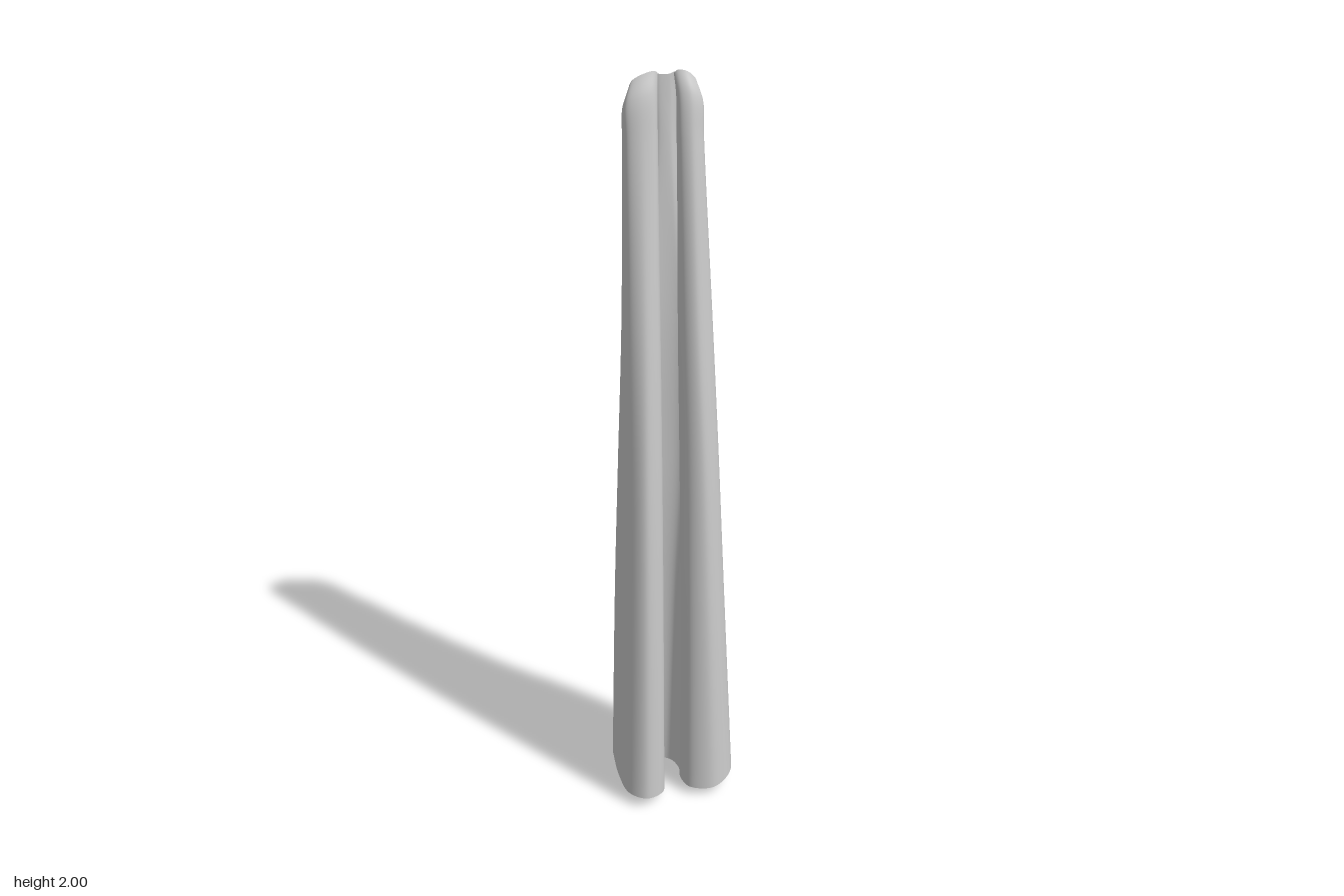
import * as THREE from 'three';

// Cross-sections of the pleated sheet as [x, z], from right hem edge round to left hem edge
const foot = [[-.165, -.1], [-.163, 0], [-.145, .078], [-.1, .109], [-.052, .083], [-.045, .02], [-.085, -.03], [-.1, -.07],
  [-.06, -.108], [-.005, -.095], [.015, -.04], [.01, .02], [.028, .07], [.09, .089], [.147, .045], [.165, -.08]];
const waist = [[-.14, -.055], [-.141, 0], [-.127, .065], [-.09, .094], [-.05, .07], [-.045, .02], [-.075, -.015], [-.095, -.04],
  [-.055, -.063], [.02, -.06], [.042, -.03], [.01, 0], [.02, .057], [.06, .077], [.1, .045], [.115, -.028]];
const chest = [[-.128, -.03], [-.13, 0], [-.12, .048], [-.085, .069], [-.05, .05], [-.043, .01], [-.06, -.01], [-.07, -.02],
  [-.045, -.031], [.01, -.031], [.03, -.02], [.005, 0], [.014, .04], [.045, .057], [.082, .03], [.093, -.02]];
const neck = [[-.118, -.034], [-.121, -.012], [-.113, .01], [-.082, .022], [-.05, .015], [-.041, -.005], [-.052, -.02], [-.05, -.03],
  [-.033, -.022], [-.008, -.022], [.008, -.03], [.004, -.008], [.012, .01], [.036, .02], [.062, .006], [.071, -.03]];

// Height of the uneven hem and dip of the rounded top, per profile point
const hem = [.045, .04, .036, .035, .03, .02, .012, .005, 0, 0, .01, .02, .025, .03, .042, .052];
const dip = [.045, .04, .02, .005, 0, .008, .01, .006, .01, .01, .006, .008, 0, .002, .02, .045];

const lerp = THREE.MathUtils.lerp;
// Gather a section towards the flat top line
const gather = (row, sx, sz) => row.map(([x, z]) => [-.025 + (x + .025) * sx, -.022 + (z + .022) * sz]);

function createSheet() {
  const knee = foot.map(([x, z], i) => [lerp(x, waist[i][0], .6), lerp(z, waist[i][1], .3)]);
  const levels = [[0, foot], [.6, knee], [1, waist], [1.4, chest], [1.85, neck],
    [1.95, gather(neck, .98, .7)], [2, gather(neck, .83, .3)]];

  // Smooth each section across the folds
  const across = 120, up = 72;
  const sections = levels.map(([y, row]) => new THREE.CatmullRomCurve3(row.map(([x, z], i) =>
    new THREE.Vector3(x, y + hem[i] * Math.max(0, 1 - y) - dip[i] * Math.max(0, (y - 1.8) / .2), z))).getPoints(across));

  // Then smooth from hem to top
  const positions = [], index = [];
  for (let i = 0; i <= across; i++) {
    const strand = new THREE.CatmullRomCurve3(sections.map(s => s[i]));
    for (let j = 0; j <= up; j++) positions.push(...strand.getPoint(j / up).toArray());
  }
  for (let i = 0; i < across; i++) for (let j = 0; j < up; j++) {
    const a = i * (up + 1) + j, b = a + up + 1;
    index.push(a, b, b + 1, a, b + 1, a + 1);
  }
  const geometry = new THREE.BufferGeometry();
  geometry.setAttribute('position', new THREE.Float32BufferAttribute(positions, 3));
  geometry.setIndex(index);
  geometry.computeVertexNormals();
  return geometry;
}

export function createModel() {
  const group = new THREE.Group();
  group.name = 'drapedCloth';
  const cloth = new THREE.Mesh(createSheet(),
    new THREE.MeshStandardMaterial({ color: 0xcccccc, side: THREE.DoubleSide }));
  cloth.name = 'pleatedSheet';
  group.add(cloth);
  return group;
}
